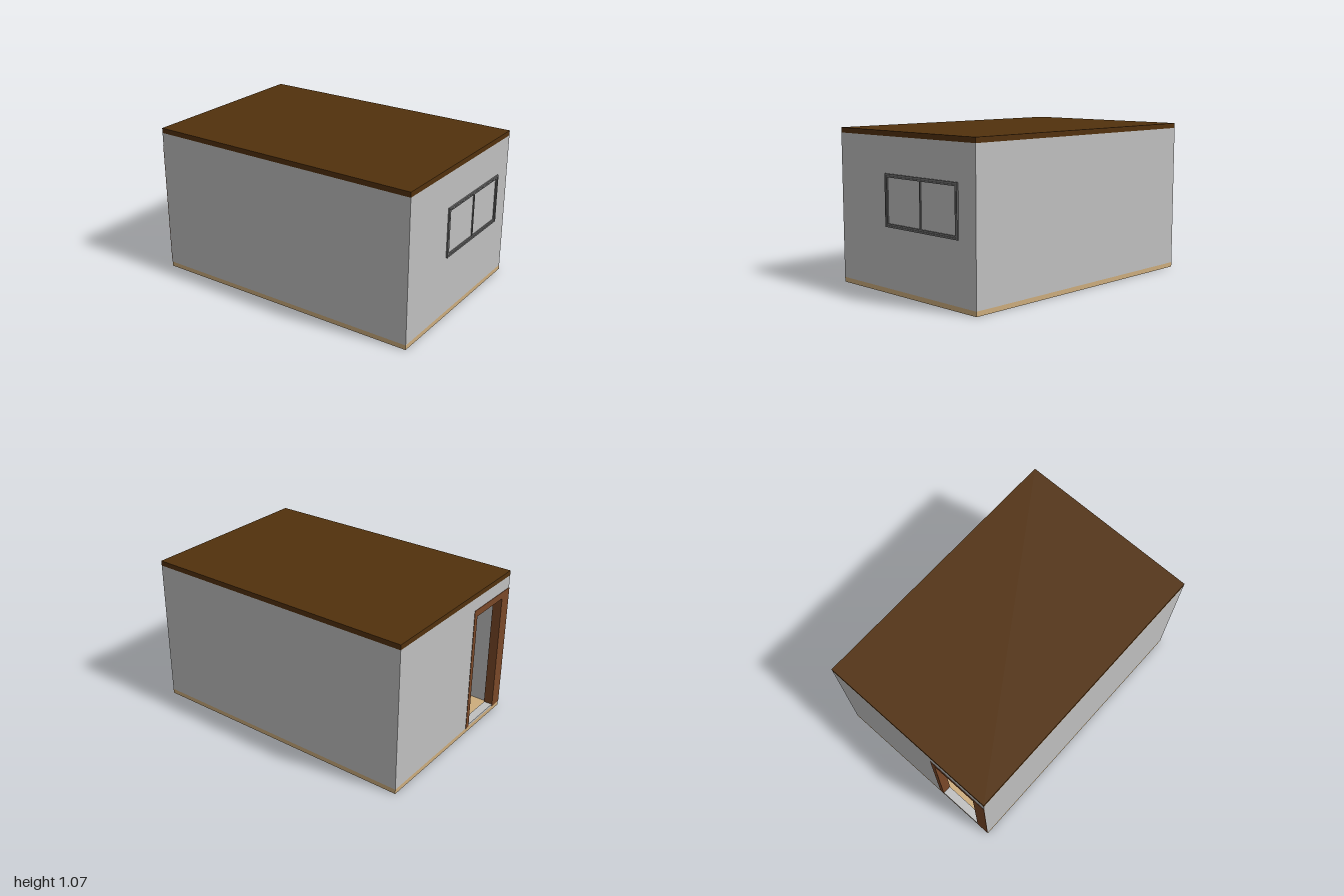
import * as THREE from 'three';

const material = (name, color) => {
  const m = new THREE.MeshStandardMaterial({ color });
  m.name = name;
  return m;
};

export function createModel() {
  const room = new THREE.Group();
  room.name = 'room';
  const wall = material('wall grey', 0xc0c0c0);
  const roofBrown = material('roof brown', 0x52310d);
  const tan = material('floor tan', 0xcdad7d);
  const doorBrown = material('door frame brown', 0x7a4828);
  const metal = material('window metal', 0x707070);
  const darkMetal = material('window dark metal', 0x585858);

  // Box given by its lower and upper limits on each axis
  const block = (name, mat, [x0, x1], [y0, y1], [z0, z1], parent = room) => {
    const mesh = new THREE.Mesh(new THREE.BoxGeometry(x1 - x0, y1 - y0, z1 - z0), mat);
    mesh.position.set((x0 + x1) / 2, (y0 + y1) / 2, (z0 + z1) / 2);
    mesh.name = name;
    parent.add(mesh);
  };

  const L = -0.997, R = 0.99, D = 0.662, T = 0.06;
  const floorTop = 0.033, wallTop = 1.03;
  const height = [floorTop, wallTop];

  // Floor and flat roof slabs
  block('floor', tan, [L, R], [0, floorTop], [-D, D]);
  block('roof', roofBrown, [L, R], [wallTop, 1.065], [-D, D]);

  // Solid walls
  block('frontWall', wall, [L, R], height, [D - T, D]);
  block('backWall', wall, [L, R], height, [-D, -D + T]);
  block('windowWall', wall, [R - T, R], height, [-D + T, D - T]);

  // Wall around the doorway
  const doorTop = 0.94, z0 = 0.2, z1 = D - T, jamb = 0.035;
  block('doorWall', wall, [L, L + T], height, [-D + T, z0]);
  block('wallAboveDoor', wall, [L, L + T], [doorTop, wallTop], [z0, z1]);
  block('doorSill', wall, [L, L + T], [floorTop, floorTop + 0.015], [z0 + jamb, z1 - jamb]);

  // Door frame, standing slightly proud of the wall
  const door = new THREE.Group();
  door.name = 'doorFrame';
  room.add(door);
  const depth = [-1, L + T + 0.002];
  block('innerJamb', doorBrown, depth, [floorTop, doorTop], [z0, z0 + jamb], door);
  block('cornerJamb', doorBrown, depth, [floorTop, doorTop], [z1 - jamb, z1], door);
  block('doorHead', doorBrown, depth, [doorTop - 0.05, doorTop], [z0 + jamb, z1 - jamb], door);
  block('cornerTrim', doorBrown, [-1, L], [floorTop, doorTop], [z1, D], door);

  // Window: nested rectangular frames and a central bar
  const win = new THREE.Group();
  win.name = 'window';
  room.add(win);
  const ring = (name, mat, front, inset, w) => {
    const a = -0.51 + inset, b = 0.185 - inset, lo = 0.442 + inset, hi = 0.79 - inset;
    const s = new THREE.Shape();
    s.moveTo(-b, lo).lineTo(-a, lo).lineTo(-a, hi).lineTo(-b, hi).closePath();
    const hole = new THREE.Path();
    hole.moveTo(-b + w, lo + w).lineTo(-b + w, hi - w).lineTo(-a - w, hi - w).lineTo(-a - w, lo + w).closePath();
    s.holes.push(hole);
    const mesh = new THREE.Mesh(
      new THREE.ExtrudeGeometry(s, { depth: front - R, bevelEnabled: false }), mat);
    mesh.rotation.y = Math.PI / 2;
    mesh.position.x = R;
    mesh.name = name;
    win.add(mesh);
  };
  ring('outerFrame', metal, 1, 0, 0.011);
  ring('frameGroove', darkMetal, 0.996, 0.011, 0.004);
  ring('innerFrame', metal, 0.998, 0.015, 0.009);
  block('centreBar', metal, [R, 0.998], [0.466, 0.766], [-0.168, -0.158], win);

  return room;
}
